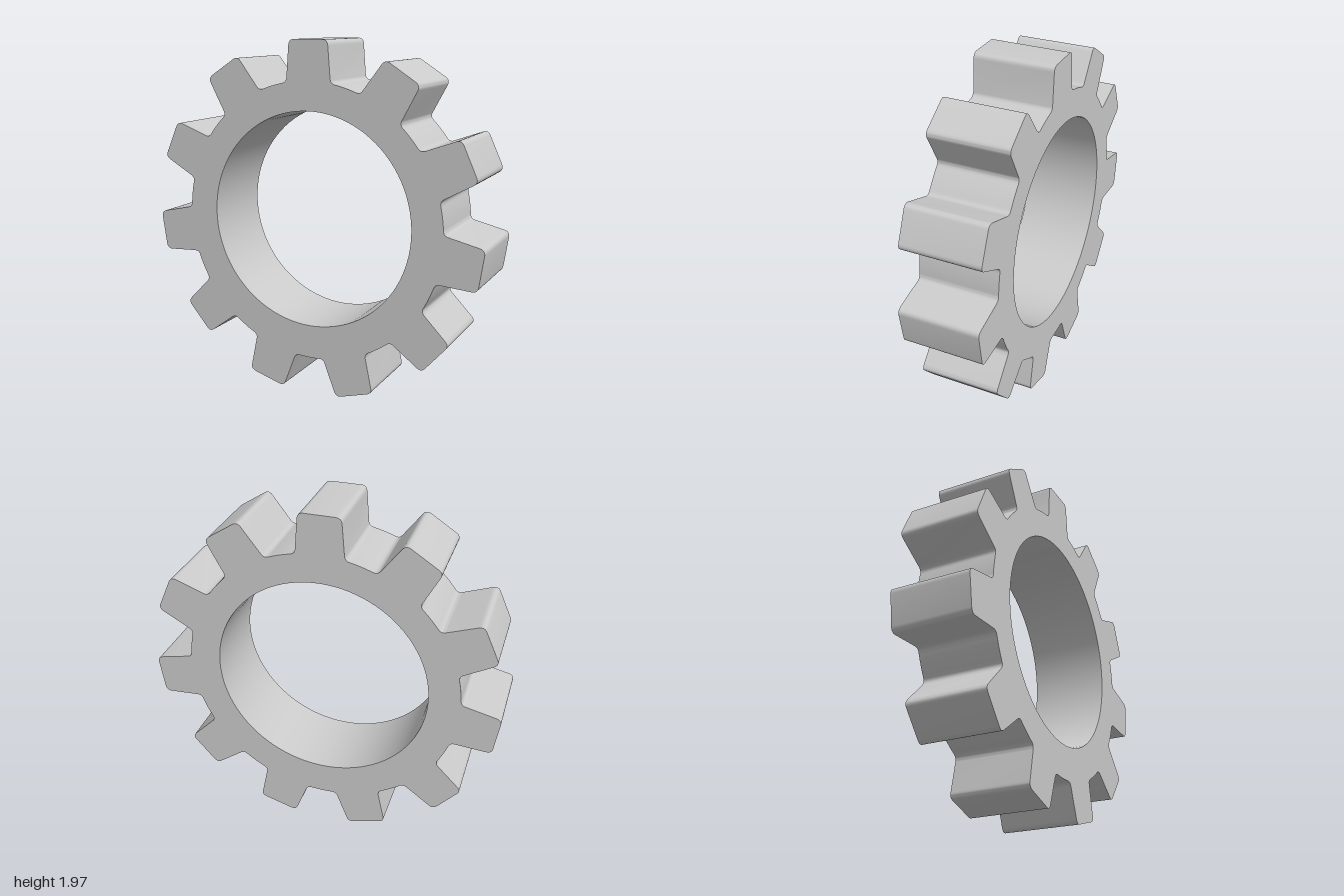
import * as THREE from 'three';
import { toCreasedNormals } from 'three/addons/utils/BufferGeometryUtils.js';

const TEETH = 11;
const CENTRE_Y = 0.987;   // centre of the toothed outline
const TIP = 0.994;        // distance to the flat tooth tip
const ROOT = 0.778;       // radius of the valleys
const TIP_HALF = 0.115;   // half width of a tooth at its tip
const ROOT_HALF = 0.133;  // half width of a tooth at its root
const DEPTH = 0.446;
const BORE_RADIUS = 0.6025;
const BORE_OFFSET = 0.015; // the bore sits slightly above the outline's centre

// Toothed outline with rounded tips and valley fillets
function gearOutline() {
  const shape = new THREE.Shape();
  const pitch = (Math.PI * 2) / TEETH;
  const rootAngle = Math.asin(ROOT_HALF / ROOT);
  const rootDistance = ROOT * Math.cos(rootAngle);
  const fillet = 0.026;
  const filletAngle = fillet / ROOT;
  const slope = (ROOT_HALF - TIP_HALF) / (TIP - rootDistance);
  const halfAt = (d) => TIP_HALF + slope * (TIP - d);

  for (let i = 0; i < TEETH; i++) {
    const a = Math.PI / 2 + i * pitch;
    // d runs outward along the tooth, s sideways (counterclockwise)
    const at = (d, s) => [
      d * Math.cos(a) - s * Math.sin(a),
      d * Math.sin(a) + s * Math.cos(a),
    ];
    const low = rootDistance + fillet;
    const high = TIP - 0.032;
    const valleyStart = a + rootAngle + filletAngle;
    const valleyEnd = a + pitch - rootAngle - filletAngle;

    // rising flank, tip and falling flank
    if (i === 0) shape.moveTo(...at(low, -halfAt(low)));
    shape.lineTo(...at(high, -halfAt(high)));
    shape.quadraticCurveTo(...at(TIP, -TIP_HALF), ...at(TIP, -TIP_HALF + 0.032));
    shape.lineTo(...at(TIP, TIP_HALF - 0.032));
    shape.quadraticCurveTo(...at(TIP, TIP_HALF), ...at(high, halfAt(high)));
    shape.lineTo(...at(low, halfAt(low)));

    // valley up to the next tooth
    shape.quadraticCurveTo(
      ...at(rootDistance, ROOT_HALF),
      ROOT * Math.cos(valleyStart), ROOT * Math.sin(valleyStart)
    );
    shape.absarc(0, 0, ROOT, valleyStart, valleyEnd, false);
    const b = a + pitch;
    const next = (d, s) => [
      d * Math.cos(b) - s * Math.sin(b),
      d * Math.sin(b) + s * Math.cos(b),
    ];
    shape.quadraticCurveTo(
      ...next(rootDistance, -ROOT_HALF),
      ...next(low, -halfAt(low))
    );
  }
  return shape;
}

// Round bore through the ring
function bore() {
  const points = [];
  for (let i = 0; i < 96; i++) {
    const a = (-i / 96) * Math.PI * 2;
    points.push(new THREE.Vector2(
      BORE_RADIUS * Math.cos(a),
      BORE_OFFSET + BORE_RADIUS * Math.sin(a)
    ));
  }
  return new THREE.Path(points);
}

export function createModel() {
  const group = new THREE.Group();
  group.name = 'gear';

  const outline = gearOutline();
  outline.holes.push(bore());
  const extruded = new THREE.ExtrudeGeometry(outline, {
    depth: DEPTH,
    bevelEnabled: false,
    curveSegments: 6,
  });
  extruded.translate(0, CENTRE_Y, -DEPTH / 2);

  const ring = new THREE.Mesh(
    toCreasedNormals(extruded, 0.6),
    new THREE.MeshStandardMaterial({ color: 0xcccccc })
  );
  ring.name = 'toothedRing';
  group.add(ring);
  return group;
}
